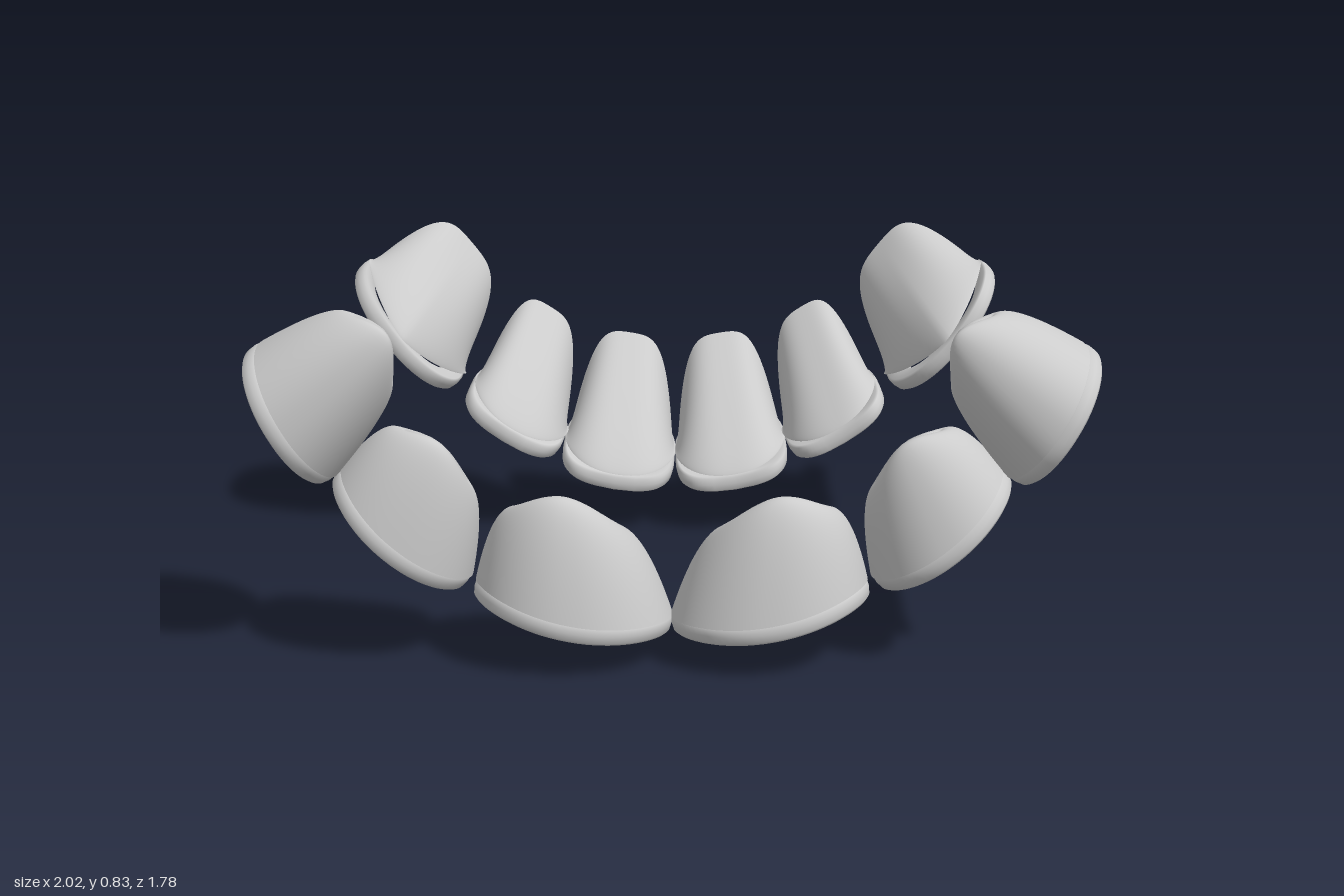
import * as THREE from 'three';

const material = new THREE.MeshStandardMaterial({ color: 0xcccccc, side: THREE.DoubleSide });

// Smooth surface from fn(i, j) -> Vector3; wrapI / wrapJ close it on itself
function surface(ni, nj, wrapI, wrapJ, fn) {
  const pos = [], index = [];
  const ci = wrapI ? ni : ni + 1, cj = wrapJ ? nj : nj + 1;
  for (let i = 0; i < ci; i++) for (let j = 0; j < cj; j++) pos.push(...fn(i / ni, j / nj).toArray());
  const id = (i, j) => (i % ci) * cj + (j % cj);
  for (let i = 0; i < ni; i++) for (let j = 0; j < nj; j++) {
    const a = id(i, j), b = id(i + 1, j), c = id(i + 1, j + 1), d = id(i, j + 1);
    index.push(a, b, c, a, c, d);
  }
  const g = new THREE.BufferGeometry();
  g.setAttribute('position', new THREE.Float32BufferAttribute(pos, 3));
  g.setIndex(index);
  g.computeVertexNormals();
  return g;
}

const lerp = THREE.MathUtils.lerp;
const signPow = (v, e) => Math.sign(v) * Math.pow(Math.abs(v), e);
const GUM = 0.9; // roundness of the gum end

// Rim outline: u across the tooth (-1..1), f from biting edge (0) to gum (1)
function rim(angle, t) {
  const c = Math.cos(angle), s = Math.sin(angle);
  const e = s > 0 ? GUM : t.edge;
  return { u: signPow(c, lerp(t.edge, GUM, 0.5 + 0.5 * s)), f: t.m + (s > 0 ? 1 - t.m : t.m) * signPow(s, e), s };
}

// Maps tooth coordinates to the model: chord from p0 to p1 in the arch, n points into the arch
function frame(t) {
  const p0 = new THREE.Vector3(...t.from, 0), p1 = new THREE.Vector3(...t.to, 0);
  const mid = p0.clone().lerp(p1, 0.5), half = p1.clone().sub(mid);
  const n = new THREE.Vector3(-half.y, half.x, 0).normalize();
  const rise = new THREE.Vector3(...t.apex, 0).sub(mid);
  const at = (u, f, h, lift = 0) => {
    const p = mid.clone().addScaledVector(half, u).addScaledVector(rise, h);
    p.addScaledVector(n, lift + t.tilt * f - t.bulge * (1 - u * u));
    p.z += lerp(t.z[0], t.z[1], f);
    return p;
  };
  return { at, half: half.length(), length: Math.abs(t.z[1] - t.z[0]) };
}

// Rounded band around the open base
function ringGeometry(t, fr) {
  const width = 0.06, depth = 0.045;
  return surface(80, 12, true, true, (i, j) => {
    const r = rim(i * Math.PI * 2, t), a = j * Math.PI * 2;
    const inset = width * (0.5 - 0.5 * signPow(Math.cos(a), 0.5));
    const lift = depth * (signPow(Math.sin(a), 0.5) - 1) / 2;
    return fr.at(r.u * (1 - inset / fr.half),
      t.m + (r.f - t.m) * (1 - inset / (fr.length * 0.5)), 0, lift);
  });
}

// Closed cap: slope from the biting edge to a broad crest, then a rounded wall at the gum
function domeGeometry(t, fr) {
  return surface(80, 24, true, false, (i, j) => {
    const p = rim(i * Math.PI * 2, t);
    const q = Math.cos(j * Math.PI / 2);
    const k = p.s > 0 ? 2.3 : lerp(2.3, 1.65, -p.s);
    const crest = t.crest - 0.14 * p.u * p.u;
    const crestHeight = 1 - 0.2 * p.u * p.u;
    return fr.at(p.u * lerp(0.42, 1, q), lerp(crest, p.f, q), crestHeight * (1 - Math.pow(q, k)), -0.005);
  });
}

// Open leaf: rises from the biting edge and ends free above the gum side of the ring
function leafGeometry(t, fr) {
  return surface(48, 24, false, false, (i, j) => {
    const c = -Math.cos(i * Math.PI), w = Math.abs(c), v = j * j;
    const start = t.m - t.m * Math.pow(Math.max(0, 1 - Math.pow(w, 1 / t.edge)), t.edge);
    const end = lerp(t.crest, t.m + 0.12, Math.pow(w, 5));
    const h = Math.pow(v, 0.8) * (1 - Math.pow(w, 4)) * (1 - 0.13 * w * w);
    return fr.at(c * (1 - 0.08 * v), lerp(start, end, v), h, 0.003);
  });
}

// from / to: base chord in x, y; apex: top of the shell in x, y; z: biting edge, gum
const frontTeeth = [
  { name: 'CentralIncisor', from: [0.004, 0.045], to: [0.475, 0.135], apex: [0.25, 0.39], z: [0.4, 0.89], m: 0.5, edge: 0.55, crest: 0.77, tilt: 0.085, bulge: 0.045 },
  { name: 'LateralIncisor', from: [0.48, 0.17], to: [0.79, 0.43], apex: [0.525, 0.535], z: [0.4, 0.815], m: 0.5, edge: 0.65, crest: 0.81, tilt: 0.02, bulge: 0.03 },
  { name: 'Canine', from: [0.79, 0.42], to: [0.975, 0.73], apex: [0.638, 0.79], z: [0.36, 0.815], m: 0.5, edge: 0.8, crest: 0.87, tilt: 0.0, bulge: 0.012 },
];
const backTeeth = [
  { name: 'CentralIncisor', from: [0.002, 0.155], to: [0.315, 0.205], apex: [0.135, 0.445], z: [-0.42, -0.895], m: 0.45, edge: 0.4, crest: 0.84, tilt: 0.07, bulge: 0.025 },
  { name: 'LateralIncisor', from: [0.312, 0.225], to: [0.57, 0.385], apex: [0.37, 0.545], z: [-0.41, -0.855], m: 0.45, edge: 0.42, crest: 0.88, tilt: 0.04, bulge: 0.02 },
  { name: 'Canine', from: [0.59, 0.405], to: [0.855, 0.73], apex: [0.56, 0.765], z: [-0.35, -0.87], m: 0.48, edge: 0.7, crest: 0.79, tilt: 0.0, bulge: 0.025 },
];

function buildRow(rowName, teeth, shellGeometry) {
  const row = new THREE.Group();
  row.name = rowName;
  for (const t of teeth) {
    const fr = frame(t);
    const ring = ringGeometry(t, fr), shell = shellGeometry(t, fr);
    for (const side of [1, -1]) {
      const tooth = new THREE.Group();
      tooth.name = (side > 0 ? 'left' : 'right') + t.name;
      for (const [name, geometry] of [['baseRing', ring], ['shell', shell]]) {
        const mesh = new THREE.Mesh(geometry, material);
        mesh.name = name;
        tooth.add(mesh);
      }
      tooth.scale.x = side;
      row.add(tooth);
    }
  }
  return row;
}

export function createModel() {
  const model = new THREE.Group();
  model.name = 'dentalVeneers';
  model.add(buildRow('frontRow', frontTeeth, domeGeometry));
  model.add(buildRow('backRow', backTeeth, leafGeometry));
  return model;
}
